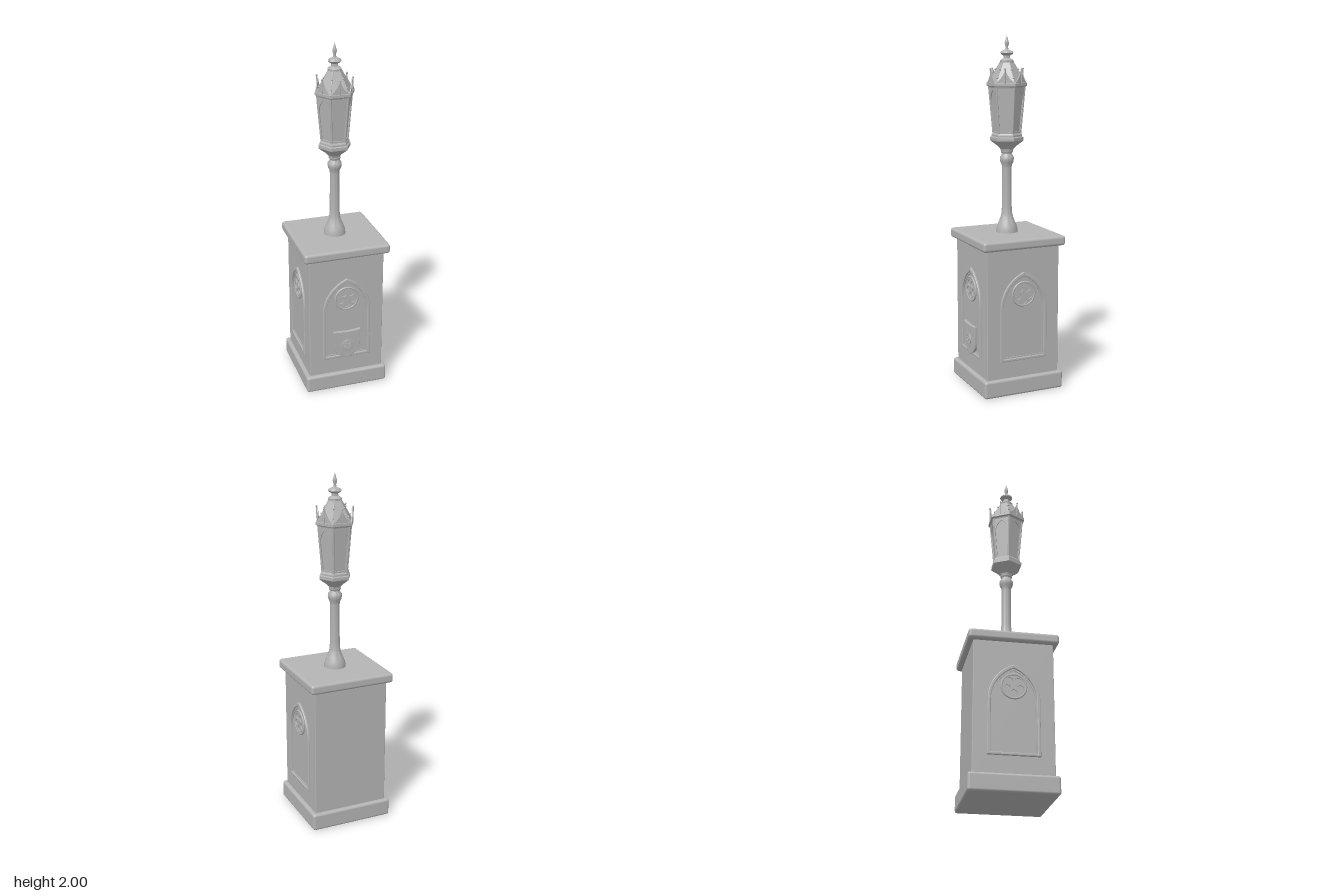
import * as THREE from 'three';
import { toCreasedNormals } from 'three/addons/utils/BufferGeometryUtils.js';
import { RoundedBoxGeometry } from 'three/addons/geometries/RoundedBoxGeometry.js';

export function createModel() {
  const stone = new THREE.MeshStandardMaterial({ color: 0xb4b4b4 });
  stone.name = 'grey stone';
  const root = new THREE.Group();
  root.name = 'lampPillar';

  const add = (name, geo, parent = root, x = 0, y = 0, z = 0) => {
    const m = new THREE.Mesh(geo, stone);
    m.name = name;
    m.position.set(x, y, z);
    parent.add(m);
    return m;
  };
  const group = (name, parent = root) => {
    const g = new THREE.Group();
    g.name = name;
    parent.add(g);
    return g;
  };
  const lathe = (pts, sides, crease) => toCreasedNormals(
    new THREE.LatheGeometry(pts.map(p => new THREE.Vector2(p[0], p[1])), sides, Math.PI / 2), crease);
  const extrude = (shape, depth, bevel = 0) => new THREE.ExtrudeGeometry(shape, {
    depth: depth - bevel, bevelEnabled: bevel > 0, bevelThickness: bevel, bevelSize: bevel,
    bevelOffset: -bevel, bevelSegments: 2, curveSegments: 16 });

  // Pedestal: plinth, shaft, top slab
  add('plinth', new RoundedBoxGeometry(0.485, 0.1, 0.485, 3, 0.014), root, 0, 0.05, 0);
  add('shaft', new RoundedBoxGeometry(0.44, 0.76, 0.44, 2, 0.004), root, 0, 0.47, 0);
  add('topSlab', new RoundedBoxGeometry(0.5, 0.056, 0.5, 3, 0.016), root, 0, 0.866, 0);

  // Pointed arch outline
  const arch = (Type, w, bottom, spring, apex) => {
    const h = apex - spring, R = (w * w + h * h) / (2 * w), a = Math.atan2(h, R - w);
    const s = new Type();
    s.moveTo(-w, bottom);
    s.lineTo(w, bottom);
    s.lineTo(w, spring);
    s.absarc(w - R, spring, R, 0, a, false);
    s.absarc(R - w, spring, R, Math.PI - a, Math.PI, false);
    s.lineTo(-w, bottom);
    return s;
  };
  const archFrame = (outer, inner) => {
    const s = arch(THREE.Shape, ...outer);
    s.holes.push(arch(THREE.Path, ...inner));
    return s;
  };
  const frameGeo = extrude(archFrame([0.142, 0.198, 0.5, 0.705], [0.124, 0.214, 0.5, 0.682]), 0.011, 0.004);
  const innerGeo = extrude(archFrame([0.126, 0.212, 0.5, 0.684], [0.117, 0.221, 0.5, 0.671]), 0.004);

  // Pierced rose with five round lights
  const rose = r => {
    const s = new THREE.Shape();
    s.absarc(0, 0, r, 0, Math.PI * 2, false);
    for (let i = 0; i < 5; i++) {
      const t = Math.PI / 2 + (i + 0.5) * Math.PI * 0.4, h = new THREE.Path();
      h.absarc(Math.cos(t) * r * 0.57, Math.sin(t) * r * 0.57, r * 0.28, 0, Math.PI * 2, true);
      s.holes.push(h);
    }
    return s;
  };
  const roseGeo = extrude(rose(0.066), 0.006);

  // Blind arches on the front and both sides
  [0, Math.PI / 2, -Math.PI / 2].forEach((angle, i) => {
    const g = group(['frontArch', 'leftArch', 'rightArch'][i]);
    g.rotation.y = angle;
    add('archMoulding', frameGeo, g, 0, 0, 0.22);
    add('archInnerStep', innerGeo, g, 0, 0, 0.22);
    add('rose', roseGeo, g, 0, 0.58, 0.22);
    add('roseRim', new THREE.TorusGeometry(0.067, 0.006, 8, 40), g, 0, 0.58, 0.223);
  });

  // Shield with a raised boss
  const sh = new THREE.Shape();
  sh.moveTo(-0.082, 0.375);
  sh.lineTo(-0.076, 0.27);
  sh.bezierCurveTo(-0.072, 0.225, -0.04, 0.212, 0, 0.195);
  sh.bezierCurveTo(0.04, 0.212, 0.072, 0.225, 0.076, 0.27);
  sh.lineTo(0.082, 0.375);
  sh.quadraticCurveTo(0, 0.362, -0.082, 0.375);
  const shield = group('shield');
  add('shieldPlate', extrude(sh, 0.016, 0.003), shield, 0, 0, 0.22);
  add('shieldBulge', new THREE.SphereGeometry(0.06, 24, 16), shield, 0, 0.28, 0.232).scale.z = 0.1;
  add('shieldRose', extrude(rose(0.028), 0.006), shield, 0, 0.285, 0.237);

  // Round post with bell foot and collar
  add('post', lathe([[0, 0.89], [0.062, 0.89], [0.061, 0.91], [0.056, 0.93], [0.046, 0.955], [0.036, 0.98],
    [0.031, 1.0], [0.028, 1.04], [0.027, 1.26], [0.029, 1.28], [0.037, 1.295], [0.04, 1.31], [0.039, 1.325],
    [0.03, 1.337], [0.028, 1.345], [0.034, 1.352], [0.034, 1.36], [0, 1.36]], 32, 0.8));

  // Six-sided lantern body: cup, glass, cornice, roof
  const lantern = group('lantern');
  add('cup', lathe([[0, 1.35], [0.032, 1.35], [0.038, 1.37], [0.055, 1.387], [0.08, 1.405], [0.094, 1.418],
    [0.094, 1.436], [0.086, 1.44], [0.086, 1.45], [0.079, 1.46], [0, 1.46]], 6, 0.3), lantern);
  add('glass', lathe([[0, 1.45], [0.07, 1.45], [0.094, 1.725], [0, 1.725]], 6, 0.3), lantern);
  add('cornice', lathe([[0, 1.708], [0.1, 1.708], [0.104, 1.717], [0.114, 1.722], [0.114, 1.738],
    [0.108, 1.743], [0, 1.743]], 6, 0.3), lantern);
  add('roof', lathe([[0, 1.74], [0.102, 1.74], [0.068, 1.797], [0.034, 1.858], [0, 1.858]], 6, 0.3), lantern);

  // Window frame with a pointed opening
  const win = new THREE.Shape();
  win.moveTo(-0.038, 0);
  win.lineTo(0.038, 0);
  win.lineTo(0.049, 0.255);
  win.lineTo(-0.049, 0.255);
  const open = new THREE.Path();
  open.moveTo(-0.031, 0.012);
  open.lineTo(0.031, 0.012);
  open.lineTo(0.039, 0.175);
  open.quadraticCurveTo(0.035, 0.22, 0, 0.242);
  open.quadraticCurveTo(-0.035, 0.22, -0.039, 0.175);
  win.holes.push(open);
  const windowGeo = extrude(win, 0.006);

  // Crown gable with curved sides
  const gable = new THREE.Shape();
  gable.moveTo(-0.054, 0);
  gable.lineTo(0.054, 0);
  gable.quadraticCurveTo(0.02, 0.018, 0, 0.07);
  gable.quadraticCurveTo(-0.02, 0.018, -0.054, 0);
  const gableGeo = extrude(gable, 0.005);
  const ball = new THREE.SphereGeometry(0.0055, 12, 8);
  const bar = (name, a, b, r, parent) => add(name,
    new THREE.TubeGeometry(new THREE.LineCurve3(a, b), 1, r, 8), parent);

  for (let i = 0; i < 6; i++) {
    const side = group('lanternSide', lantern);
    side.rotation.y = i * Math.PI / 3;
    add('windowFrame', windowGeo, side, 0, 1.457, 0.0625).rotation.x = 0.077;
    add('crownGable', gableGeo, side, 0, 1.74, 0.092);
    bar('gableStem', new THREE.Vector3(0, 1.73, 0.098), new THREE.Vector3(0, 1.812, 0.1), 0.0035, side);
    add('gableBall', ball, side, 0, 1.815, 0.1);

    const corner = group('lanternCorner', lantern);
    corner.rotation.y = (i + 0.5) * Math.PI / 3;
    bar('cornerPost', new THREE.Vector3(0, 1.45, 0.075), new THREE.Vector3(0, 1.715, 0.099), 0.006, corner);
    bar('roofRib', new THREE.Vector3(0, 1.742, 0.101), new THREE.Vector3(0, 1.855, 0.035), 0.0025, corner);
    add('lowerRibBall', ball, corner, 0, 1.766, 0.09);
    add('upperRibBall', ball, corner, 0, 1.812, 0.063);
  }

  // Round finial
  add('finial', lathe([[0, 1.85], [0.037, 1.85], [0.038, 1.86], [0.03, 1.867], [0.019, 1.873], [0.018, 1.887],
    [0.03, 1.893], [0.037, 1.901], [0.034, 1.909], [0.02, 1.916], [0.009, 1.922], [0.007, 1.935],
    [0.011, 1.947], [0.012, 1.957], [0.009, 1.968], [0.005, 1.982], [0, 2]], 24, 0.9), lantern);

  return root;
}
